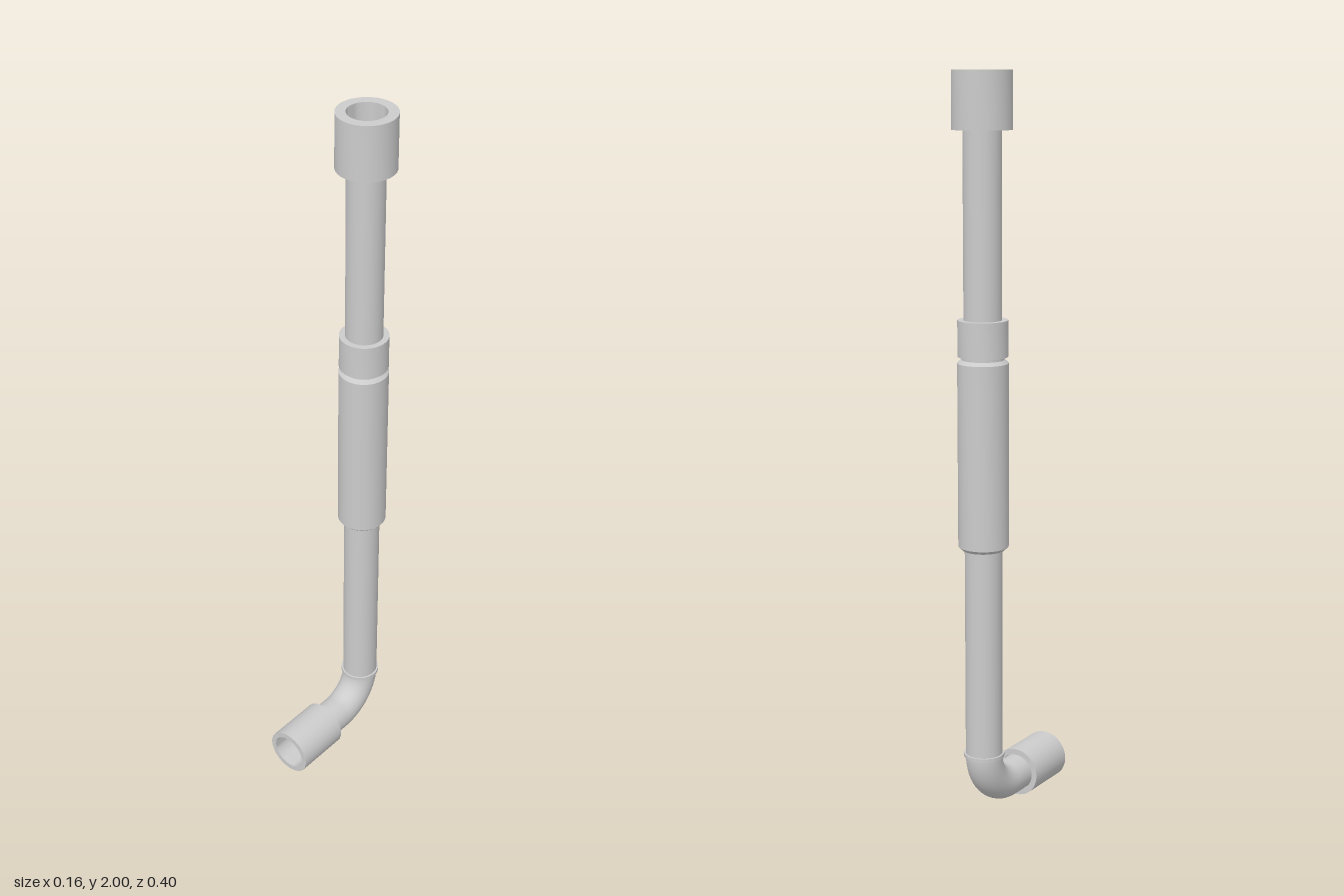
import * as THREE from 'three';
import { toCreasedNormals } from 'three/addons/utils/BufferGeometryUtils.js';

const SIDES = 32;
const PIPE_R = 0.05;     // main pipe radius
const AXIS_Z = -0.122;   // position of the upright pipe
const OUTLET_Y = 0.067;  // height of the outlet pipe
const BEND_R = 0.112;    // elbow centre-line radius

const material = new THREE.MeshStandardMaterial({ color: 0xcccccc, side: THREE.DoubleSide });

function addMesh(parent, name, geometry) {
  const mesh = new THREE.Mesh(geometry, material);
  mesh.name = name;
  parent.add(mesh);
  return mesh;
}

// Ring-shaped sleeve around the y axis, with optional chamfers on the outer rims
function addSleeve(parent, name, inner, outer, y0, y1, chamfer = 0) {
  const c = chamfer;
  const profile = c > 0
    ? [[inner, y0], [outer - c, y0], [outer, y0 + c], [outer, y1 - c], [outer - c, y1], [inner, y1], [inner, y0]]
    : [[inner, y0], [outer, y0], [outer, y1], [inner, y1], [inner, y0]];
  const lathe = new THREE.LatheGeometry(profile.map(([r, y]) => new THREE.Vector2(r, y)), SIDES);
  return addMesh(parent, name, toCreasedNormals(lathe, 0.6));
}

// Open thin-walled pipe along the y axis
function addPipe(parent, name, y0, y1) {
  const geometry = new THREE.CylinderGeometry(PIPE_R, PIPE_R, y1 - y0, SIDES, 1, true);
  return addMesh(parent, name, geometry.translate(0, (y0 + y1) / 2, 0));
}

export function createModel() {
  const model = new THREE.Group();
  model.name = 'pipeAssembly';
  const bendY = OUTLET_Y + BEND_R;
  const bendZ = AXIS_Z + BEND_R;

  // Upright pipe with its fittings
  const upright = new THREE.Group();
  upright.name = 'uprightPipe';
  upright.position.z = AXIS_Z;
  model.add(upright);
  addPipe(upright, 'mainPipe', bendY, 1.9);
  addSleeve(upright, 'topSocket', 0.051, 0.078, 1.852, 2);
  addSleeve(upright, 'collar', PIPE_R, 0.066, 1.275, 1.37);
  addSleeve(upright, 'collarGap', PIPE_R, 0.056, 1.262, 1.278);
  addSleeve(upright, 'sleeve', PIPE_R, 0.067, 0.758, 1.267, 0.009);
  addSleeve(upright, 'jointRing', PIPE_R, 0.055, 0.174, 0.184);

  // Quarter bend from the upright pipe to the outlet
  const bend = new THREE.TorusGeometry(BEND_R, PIPE_R, SIDES, 20, Math.PI / 2);
  bend.rotateZ(Math.PI).rotateY(-Math.PI / 2);
  addMesh(model, 'elbow', bend).position.set(0, bendY, bendZ);

  // Outlet pointing forward: local y becomes +z
  const outlet = new THREE.Group();
  outlet.name = 'outlet';
  outlet.position.y = OUTLET_Y;
  outlet.rotation.x = Math.PI / 2;
  model.add(outlet);
  addPipe(outlet, 'outletPipe', bendZ, 0.08);
  addSleeve(outlet, 'outletSocket', 0.051, 0.067, 0.042, 0.2);

  return model;
}
